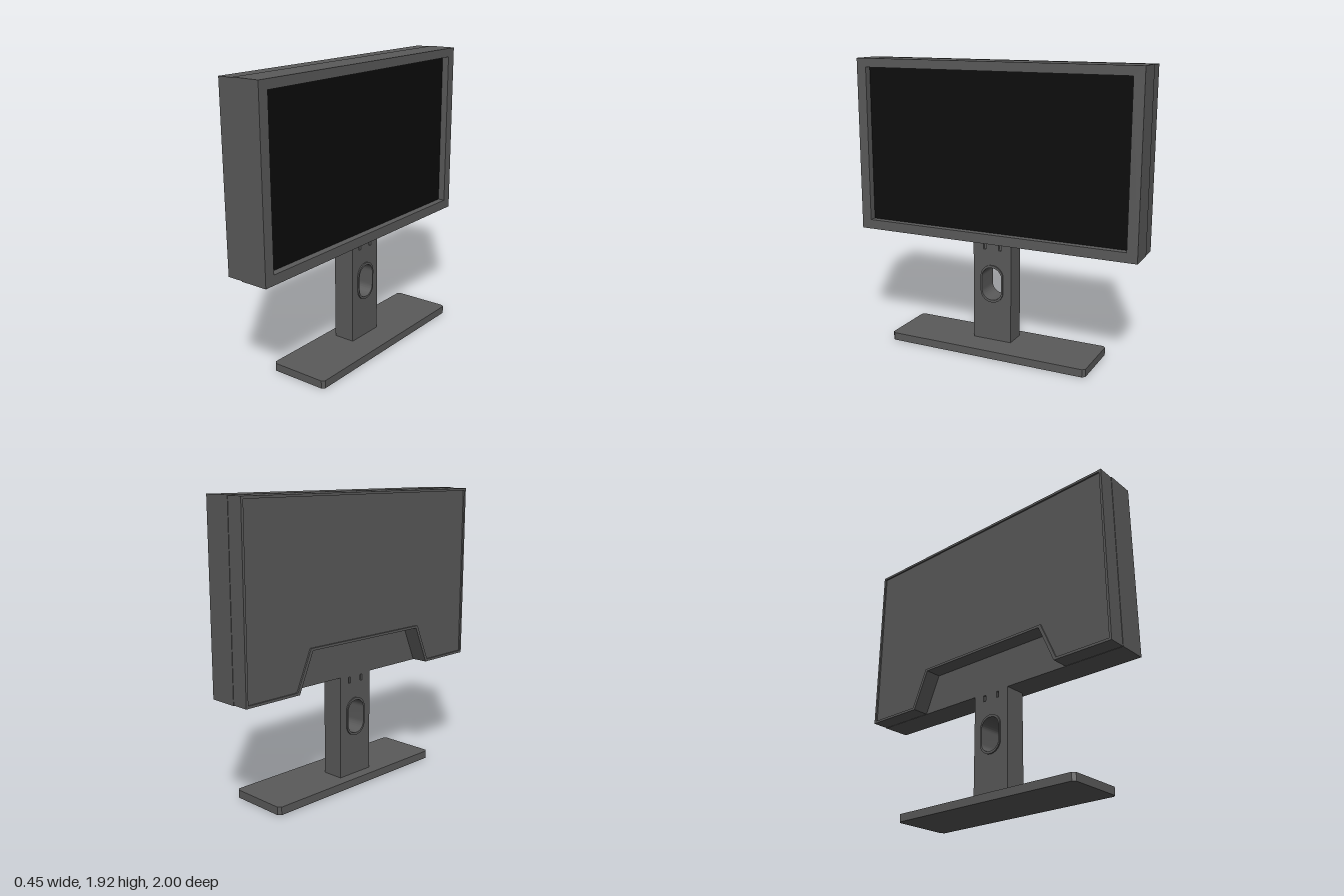
import * as THREE from 'three';
import { toCreasedNormals } from 'three/addons/utils/BufferGeometryUtils.js';

const casing = new THREE.MeshStandardMaterial({ color: 0x5a5a5a });
const glass = new THREE.MeshStandardMaterial({ color: 0x0b0b0b });

const BOTTOM = 0.735, TOP = 1.92, SEAM = -0.115;

function polygon(points) {
  return new THREE.Shape(points.map(([a, b]) => new THREE.Vector2(a, b)));
}

function rect(x0, y0, x1, y1) {
  return polygon([[x0, y0], [x1, y0], [x1, y1], [x0, y1]]);
}

// Upright oval with nearly semicircular ends
function oval(cx, cy, w, h, r) {
  const s = new THREE.Shape();
  const a = w / 2 - r, b = h / 2 - r;
  s.absarc(cx + a, cy + b, r, 0, Math.PI / 2);
  s.absarc(cx - a, cy + b, r, Math.PI / 2, Math.PI);
  s.absarc(cx - a, cy - b, r, Math.PI, Math.PI * 1.5);
  s.absarc(cx + a, cy - b, r, Math.PI * 1.5, Math.PI * 2);
  s.closePath();
  return s;
}

// Extrude an upright outline (across, up) along x, from x0 to x1
function alongX(name, shape, holes, x0, x1, material = casing) {
  shape.holes.push(...holes);
  const geo = new THREE.ExtrudeGeometry(shape, { depth: x1 - x0, bevelEnabled: false, curveSegments: 12 });
  geo.rotateY(Math.PI / 2).translate(x0, 0, 0);
  const mesh = new THREE.Mesh(toCreasedNormals(geo, 0.5), material);
  mesh.name = name;
  return mesh;
}

// Rear outline with the sloped notch that clears the stand
function rearOutline(inset) {
  const w = 0.997 - inset, y0 = BOTTOM + 0.002 + inset, y1 = TOP - 0.004 - inset;
  const foot = 0.59 + inset, head = 0.48 + inset, notch = BOTTOM + 0.255 + inset;
  return polygon([[-w, y0], [-foot, y0], [-head, notch], [head, notch],
    [foot, y0], [w, y0], [w, y1], [-w, y1]]);
}

function makeDisplay() {
  const g = new THREE.Group();
  g.name = 'display';
  const opening = () => rect(-0.93, 0.80, 0.93, 1.86);
  g.add(
    alongX('bezel', rect(-1, BOTTOM, 1, TOP), [opening()], 0.02, 0.075),
    alongX('housing', rect(-1, BOTTOM, 1, TOP), [], SEAM, 0.02),
    alongX('screen', opening(), [], 0.015, 0.027, glass),
    alongX('rearShell', rearOutline(0), [], -0.217, SEAM),
    alongX('rearLip', rearOutline(0), [rearOutline(0.016)], -0.227, -0.217),
  );
  return g;
}

function makeStand() {
  const g = new THREE.Group();
  g.name = 'stand';
  const slots = () => [-0.055, 0.055].map(c => rect(c - 0.01, 0.685, c + 0.01, 0.725));

  // Neck with a cable opening and two small slots near the top
  g.add(alongX('neck', rect(-0.138, 0.045, 0.138, 0.75),
    [oval(0, 0.45, 0.164, 0.258, 0.08), ...slots()], -0.115, 0.032));
  g.add(alongX('cableRim', oval(0, 0.45, 0.164, 0.258, 0.08),
    [oval(0, 0.45, 0.142, 0.224, 0.066)], -0.124, 0.041));
  slots().forEach(s => g.add(alongX('slotFloor', s, [], -0.1, 0.017)));

  // Flat base plate with clipped corners
  const x0 = -0.19, x1 = 0.222, z0 = -0.735, z1 = 0.68, c = 0.018;
  const plan = polygon([[x0 + c, -z1], [x1 - c, -z1], [x1, -z1 + c], [x1, -z0 - c],
    [x1 - c, -z0], [x0 + c, -z0], [x0, -z0 - c], [x0, -z1 + c]]);
  const geo = new THREE.ExtrudeGeometry(plan, { depth: 0.052, bevelEnabled: false });
  geo.rotateX(-Math.PI / 2);
  const base = new THREE.Mesh(geo, casing);
  base.name = 'base';
  g.add(base);
  return g;
}

export function createModel() {
  const model = new THREE.Group();
  model.name = 'monitor';
  model.add(makeDisplay(), makeStand());
  return model;
}
